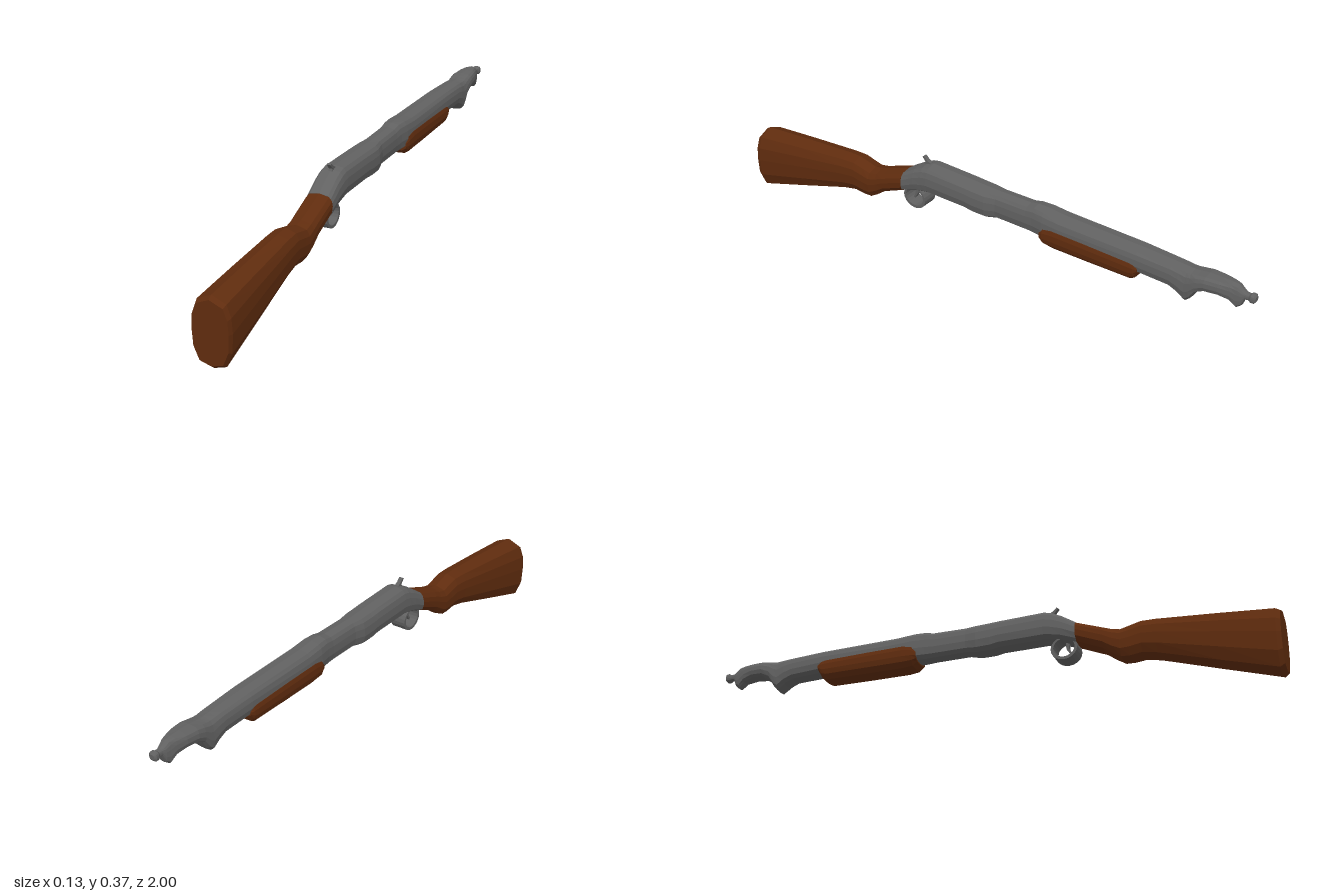
import * as THREE from 'three';

const steel = new THREE.MeshStandardMaterial({ color: 0x616161, flatShading: true });
steel.name = 'grey steel';
const wood = new THREE.MeshStandardMaterial({ color: 0x602c0e, flatShading: true });
wood.name = 'brown wood';

// Right half of each cross-section, bottom to top: [share of half width, share of height]
const BODY = [[0, 0], [0.55, 0.03], [0.88, 0.14], [1, 0.38], [0.97, 0.65], [0.86, 0.84], [0.66, 0.95], [0, 1]];
const STOCK = [[0, 0], [0.64, 0.055], [0.94, 0.26], [1, 0.53], [0.95, 0.74], [0.73, 0.91], [0, 1]];
const GRIP = [[0, 0], [0.6, 0.03], [0.9, 0.25], [1, 0.5], [1, 0.8], [0.92, 1], [0, 1]];

// Loft through sections [z, bottom, top, halfWidth], listed from +z to -z
function loft(name, half, sections, material) {
  const left = half.slice(1, -1).reverse().map(([u, v]) => [-u, v]);
  const ring = [...half, ...left];
  const n = ring.length;
  const pos = [];
  const idx = [];
  for (const [z, y0, y1, w] of sections) {
    for (const [u, v] of ring) pos.push(u * w, y0 + v * (y1 - y0), z);
  }
  const last = (sections.length - 1) * n;
  for (let i = 0; i < last; i += n) {
    for (let j = 0; j < n; j++) {
      const a = i + j, b = i + (j + 1) % n;
      idx.push(a, a + n, b, b, a + n, b + n);
    }
  }
  for (let j = 1; j < n - 1; j++) {
    idx.push(0, j, j + 1, last, last + j + 1, last + j);
  }
  const g = new THREE.BufferGeometry();
  g.setAttribute('position', new THREE.Float32BufferAttribute(pos, 3));
  g.setIndex(idx);
  g.computeVertexNormals();
  const mesh = new THREE.Mesh(g, material);
  mesh.name = name;
  return mesh;
}

// Extrude a side outline drawn in (z, y) to a given width across x
function sidePlate(name, shape, width) {
  const g = new THREE.ExtrudeGeometry(shape, { depth: width, bevelEnabled: false, curveSegments: 10 });
  g.translate(0, 0, -width / 2);
  g.rotateY(-Math.PI / 2);
  const mesh = new THREE.Mesh(g, steel);
  mesh.name = name;
  return mesh;
}

const outline = (points) => new THREE.Shape(points.map(([z, y]) => new THREE.Vector2(z, y)));

export function createModel() {
  const model = new THREE.Group();
  model.name = 'longGun';

  // Shoulder stock with its wrist
  model.add(loft('stock', STOCK, [
    [1.0, 0.016, 0.226, 0.061],
    [0.985, 0.004, 0.236, 0.066],
    [0.8, 0.064, 0.252, 0.059],
    [0.6, 0.13, 0.267, 0.051],
    [0.55, 0.141, 0.268, 0.049],
    [0.51, 0.137, 0.258, 0.048],
    [0.48, 0.139, 0.25, 0.048],
    [0.45, 0.158, 0.256, 0.047],
    [0.42, 0.182, 0.266, 0.047],
    [0.33, 0.222, 0.299, 0.048],
  ], wood));

  // Receiver, barrel and carved muzzle in one run
  model.add(loft('receiverAndBarrel', BODY, [
    [0.33, 0.222, 0.299, 0.048],
    [0.28, 0.24, 0.332, 0.048],
    [0.245, 0.247, 0.35, 0.048],
    [0.22, 0.251, 0.356, 0.048],
    [0.06, 0.252, 0.353, 0.048],
    [0.03, 0.247, 0.352, 0.048],
    [-0.02, 0.247, 0.351, 0.047],
    [-0.06, 0.256, 0.351, 0.038],
    [-0.18, 0.257, 0.354, 0.038],
    [-0.21, 0.256, 0.361, 0.04],
    [-0.25, 0.256, 0.361, 0.045],
    [-0.31, 0.258, 0.356, 0.046],
    [-0.6, 0.272, 0.354, 0.045],
    [-0.72, 0.268, 0.35, 0.042],
    [-0.75, 0.254, 0.349, 0.042],
    [-0.775, 0.234, 0.348, 0.041],
    [-0.79, 0.248, 0.348, 0.041],
    [-0.81, 0.281, 0.35, 0.041],
    [-0.84, 0.299, 0.355, 0.041],
    [-0.885, 0.303, 0.356, 0.036],
    [-0.92, 0.294, 0.356, 0.027],
    [-0.94, 0.274, 0.354, 0.021],
    [-0.955, 0.286, 0.342, 0.017],
    [-0.965, 0.313, 0.336, 0.012],
    [-0.978, 0.314, 0.335, 0.011],
    [-0.985, 0.309, 0.34, 0.015],
    [-0.995, 0.31, 0.339, 0.015],
    [-1.0, 0.316, 0.333, 0.009],
  ], steel));

  // Sliding fore grip wrapped around the underside
  model.add(loft('foreGrip', GRIP, [
    [-0.24, 0.252, 0.286, 0.043],
    [-0.255, 0.237, 0.302, 0.049],
    [-0.29, 0.233, 0.309, 0.05],
    [-0.42, 0.235, 0.309, 0.05],
    [-0.58, 0.239, 0.307, 0.05],
    [-0.597, 0.248, 0.304, 0.049],
    [-0.61, 0.273, 0.296, 0.046],
  ], wood));

  // Trigger guard: a broad oval band
  const guard = new THREE.Shape().absellipse(0.286, 0.211, 0.046, 0.041, 0, Math.PI * 2);
  guard.holes.push(new THREE.Path().absellipse(0.286, 0.213, 0.037, 0.033, 0, Math.PI * 2, true));
  model.add(sidePlate('triggerGuard', guard, 0.056));

  // Trigger
  model.add(sidePlate('trigger', outline([
    [0.3, 0.242], [0.297, 0.217], [0.307, 0.196], [0.301, 0.194], [0.288, 0.215], [0.286, 0.248],
  ]), 0.014));

  // Hammer
  model.add(sidePlate('hammer', outline([
    [0.257, 0.335], [0.249, 0.354], [0.263, 0.371], [0.257, 0.375], [0.243, 0.362], [0.23, 0.355], [0.228, 0.338],
  ]), 0.014));

  return model;
}
